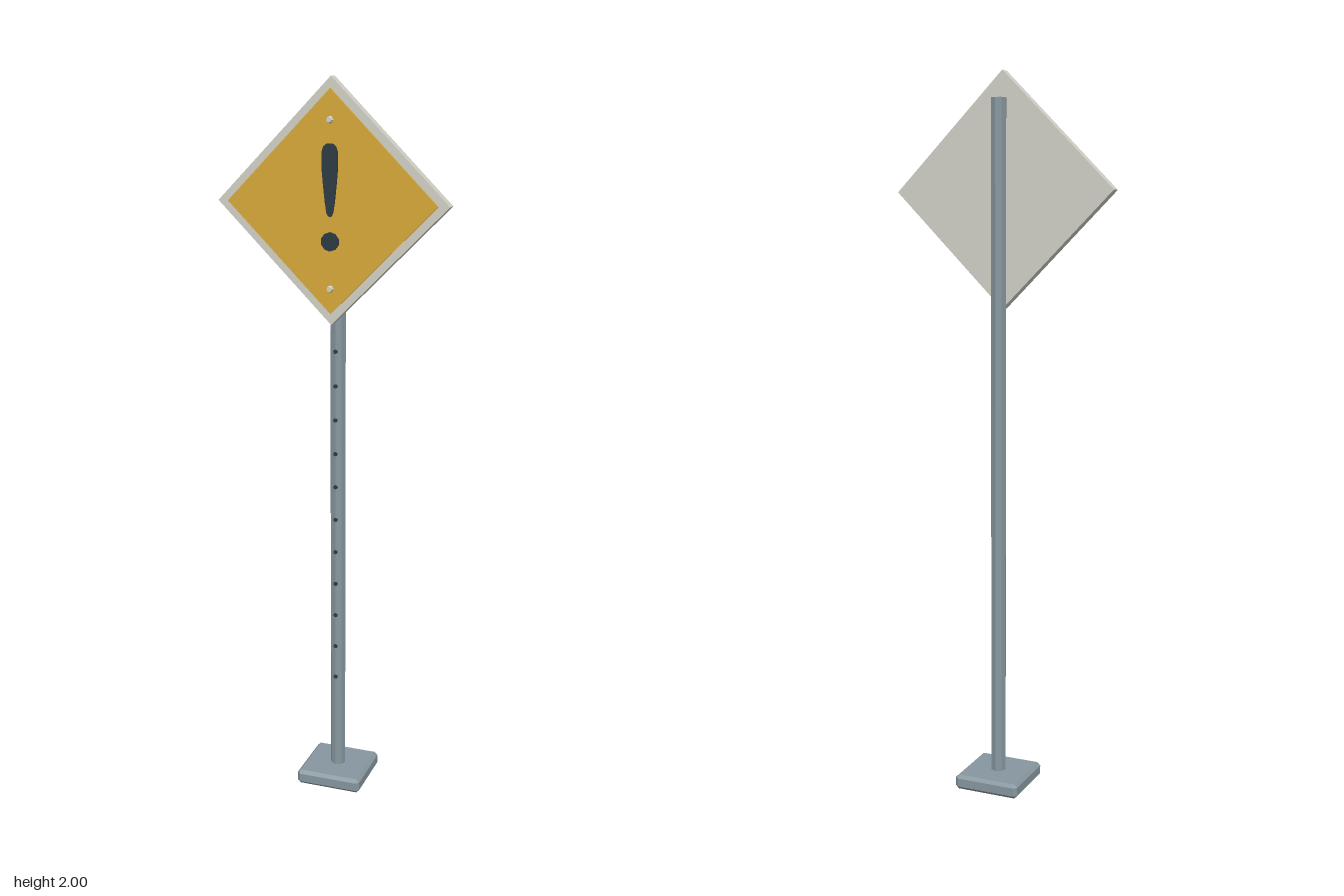
import * as THREE from 'three';
import { ConvexGeometry } from 'three/addons/geometries/ConvexGeometry.js';

const material = (name, color) => {
  const m = new THREE.MeshStandardMaterial({ color, flatShading: true });
  m.name = name;
  return m;
};

// Box with every edge and corner cut by c
function chamferedBox(w, h, d, c) {
  const [x, y, z] = [w / 2, h / 2, d / 2];
  const points = [];
  for (const sx of [-1, 1]) for (const sy of [-1, 1]) for (const sz of [-1, 1]) {
    points.push(
      new THREE.Vector3(sx * x, sy * (y - c), sz * (z - c)),
      new THREE.Vector3(sx * (x - c), sy * y, sz * (z - c)),
      new THREE.Vector3(sx * (x - c), sy * (y - c), sz * z));
  }
  return new ConvexGeometry(points);
}

export function createModel() {
  const group = new THREE.Group();
  const steel = material('blue grey steel', 0x87979f);
  const panel = material('pale grey panel', 0xd2d2c8);
  const yellow = material('warning yellow', 0xdaa93a);
  const dark = material('dark slate', 0x2c3a43);

  const add = (name, geometry, mat, x, y, z) => {
    const mesh = new THREE.Mesh(geometry, mat);
    mesh.name = name;
    mesh.position.set(x, y, z);
    group.add(mesh);
    return mesh;
  };

  // Base plate and octagonal post
  add('basePlate', chamferedBox(0.19, 0.042, 0.19, 0.009), steel, 0, 0.021, -0.001);
  add('post', new THREE.CylinderGeometry(0.022, 0.022, 1.885, 8), steel, 0, 0.9825, -0.001);

  // Row of punched holes up the front of the post
  const hole = new THREE.CylinderGeometry(0.006, 0.006, 0.009, 8).rotateX(Math.PI / 2);
  for (let i = 0; i < 11; i++) add('postHole', hole, dark, 0, 0.325 + i * 0.0958, 0.0185);

  // Diamond sign: backing panel and yellow face
  const signY = 1.681;
  const diamond = (name, halfDiagonal, z0, z1, mat) => {
    const side = halfDiagonal * Math.SQRT2;
    const geometry = new THREE.BoxGeometry(side, side, z1 - z0).rotateZ(Math.PI / 4);
    add(name, geometry, mat, 0, signY, (z0 + z1) / 2);
  };
  diamond('signPanel', 0.319, 0.023, 0.055, panel);
  diamond('signFace', 0.289, 0.054, 0.061, yellow);

  // Exclamation mark: tapered bar with rounded ends, then the dot
  const half = [[0.008, 0.185], [0.017, 0.178], [0.022, 0.163], [0.022, 0.125],
    [0.018, 0.08], [0.013, 0.035], [0.009, 0.01], [0.004, 0]];
  const outline = [...half, ...half.map(([x, y]) => [-x, y]).reverse()];
  const bar = new THREE.Shape(outline.map(([x, y]) => new THREE.Vector2(x, y)));
  add('markBar', new THREE.ExtrudeGeometry(bar, { depth: 0.006, bevelEnabled: false }),
    dark, 0, 1.648, 0.06);
  const dot = new THREE.CylinderGeometry(0.025, 0.025, 0.006, 10).rotateX(Math.PI / 2);
  add('markDot', dot, dark, 0, 1.583, 0.063);

  // Bolts above and below the mark
  const bolt = new THREE.CylinderGeometry(0.007, 0.01, 0.011, 8).rotateX(Math.PI / 2);
  for (const y of [1.892, 1.459]) add('bolt', bolt, panel, 0, y, 0.0655);

  return group;
}
